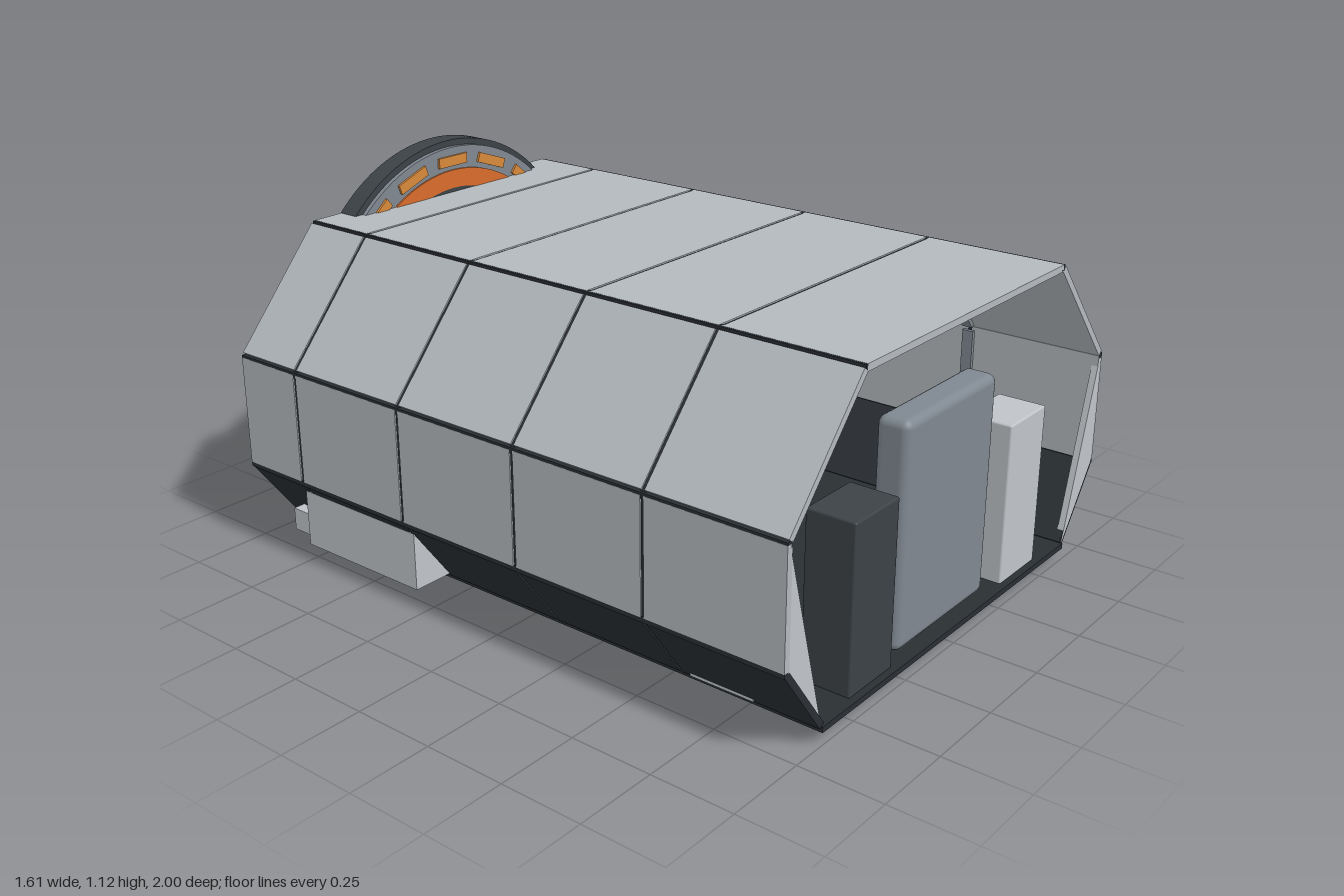
import * as THREE from 'three';
import { toCreasedNormals } from 'three/addons/utils/BufferGeometryUtils.js';
import { RoundedBoxGeometry } from 'three/addons/geometries/RoundedBoxGeometry.js';

const paint = (name, color) => {
  const m = new THREE.MeshStandardMaterial({ color });
  m.name = name;
  return m;
};

export function createModel() {
  const hull = paint('hull grey', 0xb4b9be);
  const light = paint('light grey', 0xc0c4c8);
  const mid = paint('steel grey', 0x7f8891);
  const dark = paint('charcoal', 0x3c4246);
  const black = paint('seam black', 0x2a2f33);
  const orange = paint('orange', 0xd96c2c);
  const amber = paint('amber', 0xd98a3c);

  const model = new THREE.Group();
  model.name = 'cabinModule';
  const add = (name, geometry, material, parent = model) => {
    const mesh = new THREE.Mesh(geometry, material);
    mesh.name = name;
    parent.add(mesh);
    return mesh;
  };
  // Box given by its limits on each axis
  const box = (name, [x0, x1], [y0, y1], [z0, z1], material) => {
    const mesh = add(name, new THREE.BoxGeometry(x1 - x0, y1 - y0, z1 - z0), material);
    mesh.position.set((x0 + x1) / 2, (y0 + y1) / 2, (z0 + z1) / 2);
    return mesh;
  };
  const pair = (name, [x0, x1], y, z, material) => {
    box(name + 'Left', [x0, x1], y, z, material);
    box(name + 'Right', [-x1, -x0], y, z, material);
  };

  // Hull cross-section, counterclockwise, and seam positions along z
  const section = [[0.64, 0.04], [0.805, 0.265], [0.805, 0.615], [0.505, 0.957],
    [-0.505, 0.957], [-0.805, 0.615], [-0.805, 0.265], [-0.64, 0.04]];
  const seams = [1, 0.565, 0.13, -0.3, -0.725, -0.965];
  // Slab lying along one edge of the section, from depth d0 to d1 inside it
  const slab = (name, i, z0, z1, d0, d1, gap, material) => {
    const [ax, ay] = section[i], [bx, by] = section[i + 1];
    const length = Math.hypot(bx - ax, by - ay) - gap;
    const g = new THREE.BoxGeometry(length, d1 - d0, Math.abs(z1 - z0));
    g.translate(0, (d0 + d1) / 2, 0);
    const mesh = add(name, g, material);
    mesh.rotation.z = Math.atan2(by - ay, bx - ax);
    mesh.position.set((ax + bx) / 2, (ay + by) / 2, (z0 + z1) / 2);
  };
  for (let i = 0; i < 7; i++) {
    const lower = i === 0 || i === 6;
    for (let s = 0; s < 5; s++) {
      slab('hullPanel', i, seams[s] - 0.005, seams[s + 1] + 0.005, 0, 0.02, 0.016, lower ? black : hull);
    }
    for (let s = 1; s < 5; s++) {
      slab('seam', i, seams[s] - 0.008, seams[s] + 0.008, 0.004, 0.02, 0.01, black);
      slab('rib', i, seams[s] - 0.018, seams[s] + 0.018, 0.02, 0.032, 0.04, s === 2 ? orange : mid);
    }
  }
  // Long dark bars along the hull corners
  for (const [x, y] of section.slice(1, 7)) {
    const bar = add('cornerBar', new THREE.BoxGeometry(0.017, 0.017, 1.955), black);
    bar.position.set(x - Math.sign(x) * 0.009, y - (y > 0.5 ? 0.009 : -0.003), 0.0175);
  }
  box('floor', [-0.64, 0.64], [0.035, 0.052], [-0.965, 1], black);

  // Triangular gussets closing the lower corners at both ends
  for (const side of [-1, 1]) {
    const shape = new THREE.Shape([[0.64, 0.05], [0.795, 0.265], [0.795, 0.61]]
      .map(([x, y]) => new THREE.Vector2(side * x, y)));
    for (const z of [0.975, -0.96]) {
      const g = new THREE.ExtrudeGeometry(shape, { depth: 0.02, bevelEnabled: false });
      add('gusset', g, light).position.z = z;
    }
  }

  // Outer equipment pods
  pair('pod', [0.6, 0.78], [0.055, 0.23], [-0.745, -0.285], light);
  pair('podStep', [0.6, 0.74], [0.055, 0.125], [-0.86, -0.745], light);

  // Docking ring, built from nested bands
  const dock = new THREE.Group();
  dock.name = 'dockingRing';
  dock.position.y = 0.56;
  model.add(dock);
  const band = (name, inner, outer, z0, z1, material) => {
    const shape = new THREE.Shape().absarc(0, 0, outer, 0, Math.PI * 2);
    shape.holes.push(new THREE.Path().absarc(0, 0, inner, 0, Math.PI * 2, true));
    const g = new THREE.ExtrudeGeometry(shape, { depth: z1 - z0, bevelEnabled: false, curveSegments: 64 });
    add(name, toCreasedNormals(g, 0.5), material, dock).position.z = z0;
  };
  band('outerRim', 0.535, 0.56, -0.962, -0.895, dark);
  band('ringBody', 0.42, 0.54, -0.966, -0.88, mid);
  band('rearOrangeBand', 0.41, 0.462, -0.982, -0.96, orange);
  band('innerLiner', 0.397, 0.416, -1, -0.877, dark);
  band('frontOrangeBand', 0.41, 0.468, -0.89, -0.875, orange);
  for (let i = 0; i < 18; i++) {
    const a = i * Math.PI / 9;
    const mark = add('ringMarker', new THREE.BoxGeometry(0.12, 0.032, 0.009), amber, dock);
    mark.position.set(Math.sin(a) * 0.498, Math.cos(a) * 0.498, -0.877);
    mark.rotation.z = -a;
  }

  // Cabinets just inside the open front
  const cabinet = add('centreCabinet', new RoundedBoxGeometry(0.46, 0.66, 0.1, 3, 0.025), mid);
  cabinet.position.set(-0.003, 0.382, 0.91);
  const cabinets = [[-0.393, dark], [0.39, light]];
  for (const [x, material] of cabinets) {
    const c = add('sideCabinet', new RoundedBoxGeometry(0.2, 0.49, 0.15, 2, 0.006), material);
    c.position.set(x, 0.295, 0.905);
  }

  // Strapped crates beside the cabinets
  pair('crate', [0.49, 0.655], [0.052, 0.19], [0.6, 0.8], light);
  pair('crateStrap', [0.6, 0.615], [0.052, 0.195], [0.595, 0.805], orange);
  pair('crateHandle', [0.52, 0.59], [0.19, 0.2], [0.69, 0.71], dark);

  // Wall lockers, floor strips and ceiling lamp
  pair('wallLocker', [0.495, 0.765], [0.415, 0.62], [-0.5, -0.05], dark);
  pair('floorStrip', [0.36, 0.375], [0.052, 0.056], [-0.7, 0.75], orange);
  box('ceilingLampBase', [-0.2, 0.2], [0.922, 0.938], [-0.65, -0.35], dark);
  box('ceilingLamp', [-0.18, 0.18], [0.915, 0.922], [-0.63, -0.37], amber);

  // Console across the rear
  box('consoleBase', [-0.62, 0.62], [0.052, 0.25], [-0.86, -0.62], light);
  box('consoleBack', [-0.7, 0.7], [0.24, 0.37], [-0.86, -0.82], light);
  box('consoleShelf', [-0.7, 0.7], [0.24, 0.26], [-0.82, -0.58], mid);
  box('consolePanel', [-0.5, 0.5], [0.27, 0.33], [-0.82, -0.812], dark);
  box('consoleTrim', [0.29, 0.5], [0.27, 0.31], [-0.76, -0.68], orange);
  box('consoleUnit', [0.53, 0.62], [0.335, 0.375], [-0.8, -0.72], orange);
  box('consoleTop', [-0.25, 0.25], [0.37, 0.382], [-0.85, -0.8], orange);
  for (const side of [-1, 1]) {
    for (const [y, h, r, m] of [[0.265, 0.014, 0.036, dark], [0.317, 0.1, 0.028, light], [0.37, 0.014, 0.036, dark]]) {
      add('canister', new THREE.CylinderGeometry(r, r, h, 24), m).position.set(side * 0.65, y, -0.68);
    }
  }

  // Work table in the middle of the cabin
  box('tableTop', [-0.3, 0.25], [0.375, 0.392], [-0.3, 0.2], dark);
  box('tablePedestal', [-0.28, -0.2], [0.052, 0.375], [-0.1, 0], light);
  box('tableScreen', [-0.31, -0.2], [0.4, 0.475], [-0.28, -0.25], mid);
  box('tableScreenStripe', [-0.29, -0.22], [0.435, 0.445], [-0.25, -0.245], orange);
  return model;
}
